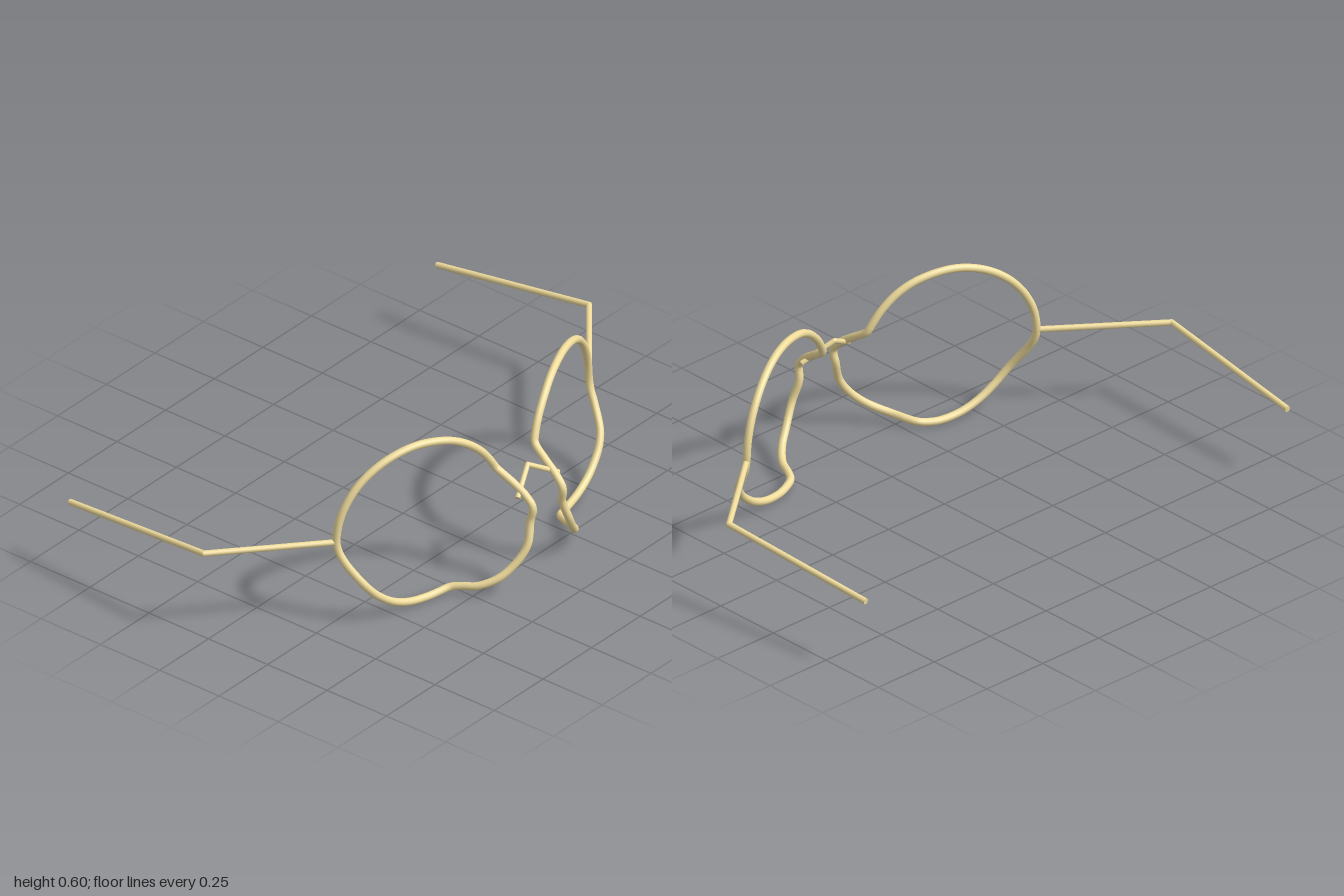
import * as THREE from 'three';

const wire = new THREE.MeshStandardMaterial({ color: 0xf0dc9c });
const V = (x, y, z) => new THREE.Vector3(x, y, z);

// Rim outline: [angle in degrees, depth z] around a circle in the front plane
const RIM = [
  [0, 0.252], [15, 0.255], [30, 0.267], [45, 0.286], [60, 0.312], [75, 0.341], [90, 0.37],
  [110, 0.408], [125, 0.434], [140, 0.453], [152, 0.466], [157, 0.474], [165, 0.53],
  [172, 0.579], [180, 0.611], [190, 0.604], [205, 0.613], [215, 0.604], [225, 0.586],
  [235, 0.561], [245, 0.513], [250, 0.46], [254, 0.43], [262, 0.412], [270, 0.4],
  [285, 0.384], [300, 0.37], [315, 0.355], [322, 0.346], [330, 0.33], [345, 0.283],
  [353, 0.261],
];

function add(parent, name, geometry) {
  const mesh = new THREE.Mesh(geometry, wire);
  mesh.name = name;
  parent.add(mesh);
  return mesh;
}

// Straight round rods through the points, with ball joints at the bends
function rods(name, points, radius) {
  const group = new THREE.Group();
  group.name = name;
  for (let i = 0; i < points.length - 1; i++) {
    const a = points[i], b = points[i + 1];
    const dir = b.clone().sub(a);
    const rod = add(group, name + 'Rod', new THREE.CylinderGeometry(radius, radius, dir.length(), 12));
    rod.position.copy(a).lerp(b, 0.5);
    rod.quaternion.setFromUnitVectors(V(0, 1, 0), dir.normalize());
    if (i > 0) add(group, name + 'Joint', new THREE.SphereGeometry(radius, 12, 8)).position.copy(a);
  }
  return group;
}

export function createModel() {
  const model = new THREE.Group();
  model.name = 'eyeglasses';

  for (const [side, s] of [['left', 1], ['right', -1]]) {
    // Warped round rim
    const points = RIM.map(([deg, z]) => {
      const a = THREE.MathUtils.degToRad(deg);
      return V(s * (0.363 + 0.286 * Math.cos(a)), 0.3 + 0.286 * Math.sin(a), z);
    });
    const curve = new THREE.CatmullRomCurve3(points, true, 'centripetal');
    add(model, side + 'Rim', new THREE.TubeGeometry(curve, 144, 0.0135, 12, true));

    // Temple arm: hinge, outer bend, tip
    model.add(rods(side + 'Temple', [
      V(s * 0.648, 0.302, 0.253), V(s * 0.99, 0.312, -0.028), V(s * 0.943, 0.25, -0.63),
    ], 0.0105));
  }

  // Peaked nose bridge
  model.add(rods('bridge', [V(-0.105, 0.334, 0.569), V(0, 0.396, 0.525), V(0.105, 0.334, 0.569)], 0.009));
  return model;
}
